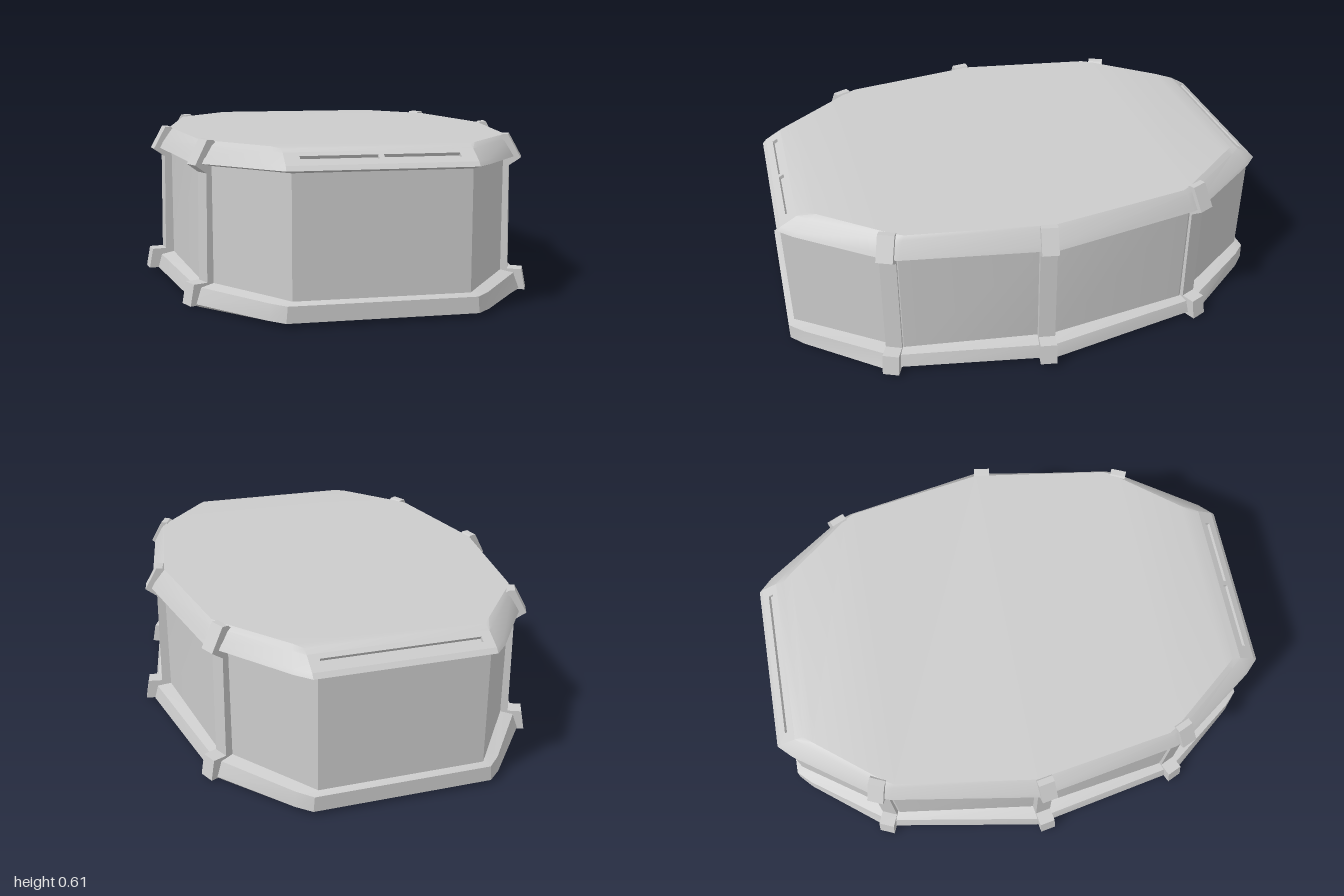
import * as THREE from 'three';
import { toCreasedNormals } from 'three/addons/utils/BufferGeometryUtils.js';

const material = new THREE.MeshStandardMaterial({ color: 0xcccccc });

// Each ring is one quarter of the outline, from front corner to mid side: [x, y, z]
const RINGS = [
  [[.34, 0, .95], [.38, 0, .91], [.62, 0, .66], [.64, .02, .60], [.755, .02, 0]],            // floor
  [[.345, .015, 1], [.40, .015, .95], [.635, .01, .655], [.645, .021, .60], [.755, .021, 0]], // skirt bottom
  [[.34, .075, 1], [.395, .075, .945], [.62, .07, .64], [.63, .07, .60], [.74, .075, 0]],     // skirt top
  [[.32, .085, .975], [.37, .085, .905], [.575, .08, .615], [.60, .08, .58], [.685, .085, 0]], // wall foot
  [[.32, .527, .975], [.37, .525, .905], [.575, .515, .615], [.60, .515, .58], [.685, .515, 0]], // wall top
  [[.34, .535, .99], [.395, .535, .935], [.62, .525, .62], [.635, .525, .58], [.735, .525, 0]], // lip
  [[.34, .552, .975], [.39, .55, .925], [.61, .545, .615], [.625, .545, .575], [.725, .545, 0]], // slope start
  [[.34, .59, .91], [.375, .59, .868], [.59, .59, .595], [.605, .59, .56], [.692, .59, 0]],   // slope end
  [[.34, .60, .875], [.37, .605, .84], [.575, .605, .585], [.595, .605, .55], [.68, .605, 0]], // roof edge
];
const VENT_BAND = 6; // the sloped band that carries the vent panels

// Mirror a quarter outline into a full loop, counter-clockwise seen from above
function fullRing(quarter) {
  const back = quarter.slice(0, -1).reverse().map(([x, y, z]) => [x, y, -z]);
  const right = [...quarter, ...back];
  const left = [...right].reverse().map(([x, y, z]) => [-x, y, z]);
  return [...right, ...left];
}

// Join the rings from index first to last, with optional floor and roof
function loft(first, last, capBottom, capTop) {
  const pos = [];
  const quad = (a, b, c, d) => pos.push(...a, ...b, ...c, ...a, ...c, ...d);
  const rings = RINGS.map(fullRing);
  const n = rings[0].length;
  for (let r = first; r < last; r++) {
    for (let i = 0; i < n; i++) {
      const j = (i + 1) % n;
      const isEnd = i === n / 2 - 1 || i === n - 1;
      if (r === VENT_BAND && isEnd) continue;
      quad(rings[r][i], rings[r][j], rings[r + 1][j], rings[r + 1][i]);
    }
  }
  // Caps are strips running from side to side
  for (let i = 0; i < n / 2 - 1; i++) {
    const strip = (g) => [g[i], g[i + 1], g[n - 2 - i], g[n - 1 - i]];
    if (capTop) quad(...strip(rings[last]));
    if (capBottom) quad(...strip(rings[first]).reverse());
  }
  const geometry = new THREE.BufferGeometry();
  geometry.setAttribute('position', new THREE.Float32BufferAttribute(pos, 3));
  return toCreasedNormals(geometry, 0.4);
}

function addMesh(parent, name, geometry) {
  const mesh = new THREE.Mesh(geometry, material);
  mesh.name = name;
  parent.add(mesh);
  return mesh;
}

// Sloped panel with recessed slots, given as [x0, x1] pairs
function ventPanel(name, slots) {
  const a = RINGS[VENT_BAND][0], b = RINGS[VENT_BAND + 1][0];
  const dy = b[1] - a[1], dz = b[2] - a[2];
  const length = Math.hypot(dy, dz), depth = 0.015, w = a[0];
  const shape = new THREE.Shape([[-w, 0], [w, 0], [w, length], [-w, length]]
    .map(([x, y]) => new THREE.Vector2(x, y)));
  for (const [x0, x1] of slots) {
    shape.holes.push(new THREE.Path([[x0, .03], [x0, .053], [x1, .053], [x1, .03]]
      .map(([x, y]) => new THREE.Vector2(x, y))));
  }
  const tilt = new THREE.Group();
  tilt.position.set(0, a[1], a[2]);
  tilt.rotation.x = Math.atan2(dz, dy);
  const panel = new THREE.ExtrudeGeometry(shape, { depth, bevelEnabled: false });
  addMesh(tilt, 'slottedPanel', panel.translate(0, 0, -depth));
  addMesh(tilt, 'slotFloor', new THREE.BoxGeometry(.64, .04, .004).translate(0, .042, -depth));
  const group = new THREE.Group();
  group.name = name;
  group.add(tilt);
  return group;
}

// Rib: foot, post and roof clamp in one outline, extruded across its width
function ribGeometry(footY) {
  const width = 0.065;
  const outline = [[-.12, footY + .01], [-.03, footY], [.055, footY], [.04, footY + .08], [-.015, footY + .08],
    [-.02, .49], [.025, .522], [-.025, .612], [-.05, .61], [-.07, .59], [-.12, .55]];
  const shape = new THREE.Shape(outline.map(([x, y]) => new THREE.Vector2(x, y)));
  return new THREE.ExtrudeGeometry(shape, { depth: width, bevelEnabled: false }).translate(0, 0, -width / 2);
}

export function createModel() {
  const model = new THREE.Group();
  model.name = 'case';

  addMesh(model, 'baseSkirt', loft(0, 3, true, false));
  addMesh(model, 'walls', loft(3, 4, false, false));
  addMesh(model, 'roof', loft(4, 8, false, true));

  // Vents: two slots at the front, one long slot at the back
  model.add(ventPanel('frontVent', [[-.285, -.01], [.01, .285]]));
  const backVent = ventPanel('backVent', [[-.30, .30]]);
  backVent.rotation.y = Math.PI;
  model.add(backVent);

  // Ribs on both sides: [name, x, z, outward angle towards +z, foot height]
  const ribs = [
    ['frontRib', .61, .625, .42, .005],
    ['middleRib', .73, .035, .17, .02],
    ['backRib', .61, -.63, -.42, .005],
  ];
  for (const side of [1, -1]) {
    for (const [name, x, z, angle, footY] of ribs) {
      const rib = addMesh(model, (side > 0 ? 'left ' : 'right ') + name, ribGeometry(footY));
      rib.position.set(side * x, 0, z);
      rib.rotation.y = side > 0 ? -angle : Math.PI + angle;
    }
  }
  return model;
}
